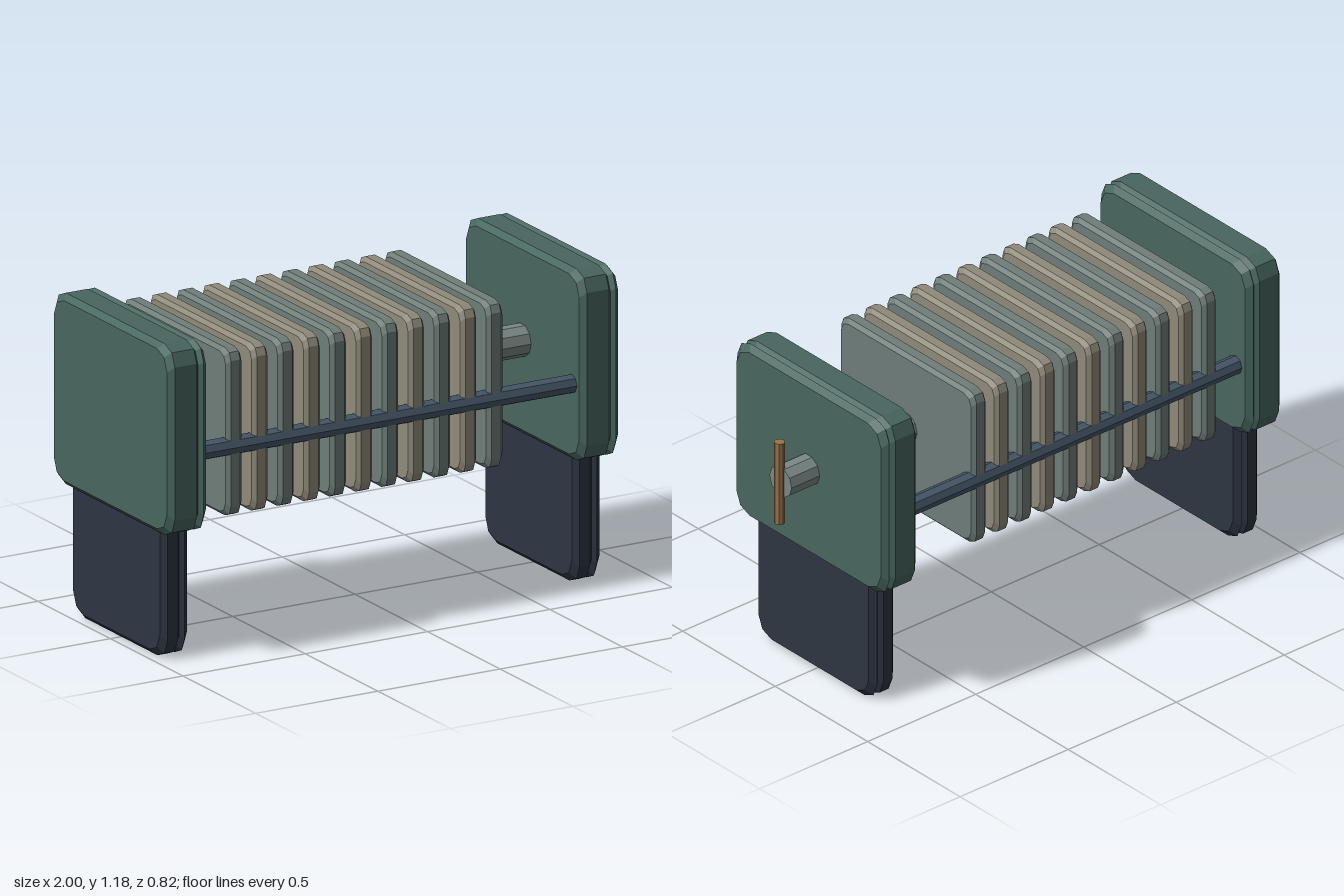
import * as THREE from 'three';

const paint = (name, color) => {
  const m = new THREE.MeshStandardMaterial({ color, flatShading: true });
  m.name = name;
  return m;
};

// Rounded rectangle in the zy plane, counter-clockwise seen from +x
function outline(halfWidth, y0, y1, r, inset) {
  const w = halfWidth - inset, lo = y0 + inset, hi = y1 - inset;
  const corners = [[w - r, hi - r], [r - w, hi - r], [r - w, lo + r], [w - r, lo + r]];
  const points = [];
  corners.forEach(([u, v], k) => {
    for (let s = 0; s <= 2; s++) {
      const a = (k + s / 2) * Math.PI / 2;
      points.push([-(u + r * Math.cos(a)), v + r * Math.sin(a)]);
    }
  });
  return points;
}

// Slab along x; each row gives [x, inset of the outline]
function slab(halfWidth, y0, y1, r, rows) {
  const pos = [], index = [], n = 12;
  for (const [x, inset] of rows)
    for (const [z, y] of outline(halfWidth, y0, y1, r, inset)) pos.push(x, y, z);
  const start = pos.length / 3, end = start + 1, last = (rows.length - 1) * n;
  pos.push(rows[0][0], (y0 + y1) / 2, 0, rows[rows.length - 1][0], (y0 + y1) / 2, 0);
  for (let j = 0; j < n; j++) {
    const k = (j + 1) % n;
    for (let i = 0; i < last; i += n)
      index.push(i + j, i + k, i + n + k, i + j, i + n + k, i + n + j);
    index.push(start, k, j, end, last + j, last + k);
  }
  const g = new THREE.BufferGeometry();
  g.setAttribute('position', new THREE.Float32BufferAttribute(pos, 3));
  g.setIndex(index);
  const flat = g.toNonIndexed();
  flat.computeVertexNormals();
  return flat;
}

// Bevelled section with a shallow groove near the +x edge
const grooved = t => [[0, 0.02], [0.02, 0], [t - 0.05, 0], [t - 0.036, 0.014],
  [t - 0.022, 0], [t, 0.02]];
const bevelled = t => [[0, 0.014], [0.014, 0], [t - 0.014, 0], [t, 0.014]];

export function createModel() {
  const green = paint('green enamel', 0x48665f);
  const navy = paint('dark navy', 0x2d3542);
  const steel = paint('blue steel', 0x465768);
  const grey = paint('grey plate', 0x6f7d79);
  const beige = paint('beige plate', 0x8f8a7a);
  const metal = paint('piston metal', 0x7a8885);
  const brass = paint('brass', 0x98734a);

  const model = new THREE.Group();
  model.name = 'filterPress';
  const add = (name, geometry, material, x = 0, y = 0, z = 0) => {
    const mesh = new THREE.Mesh(geometry, material);
    mesh.name = name;
    mesh.position.set(x, y, z);
    model.add(mesh);
    return mesh;
  };

  // End heads and their legs
  const head = slab(0.41, 0.474, 1.18, 0.07, grooved(0.16));
  const leg = slab(0.318, 0, 0.56, 0.07, grooved(0.112));
  [['right', -1], ['left', 0.685]].forEach(([side, x]) => {
    add(side + 'Head', head, green, x);
    add(side + 'Leg', leg, navy, x + 0.025);
  });

  // Row of alternating filter plates
  const plate = slab(0.365, 0.5, 1.12, 0.04, bevelled(0.066));
  for (let i = 0; i < 11; i++)
    add('filterPlate' + (i + 1), plate, i % 2 ? beige : grey, -0.738 + i * 0.1066);

  // Side rails
  const rail = new THREE.CylinderGeometry(0.035, 0.035, 1.66, 8);
  rail.rotateZ(Math.PI / 2);
  for (const s of [1, -1]) add(s > 0 ? 'frontRail' : 'backRail', rail, steel, -0.075, 0.76, s * 0.34);

  // Closing piston and its handle
  const piston = new THREE.CylinderGeometry(0.06, 0.06, 0.59, 10);
  piston.rotateZ(Math.PI / 2);
  add('piston', piston, metal, 0.68, 0.828, 0);
  add('handle', new THREE.CylinderGeometry(0.02, 0.02, 0.33, 8), brass, 0.98, 0.828, 0);

  return model;
}
